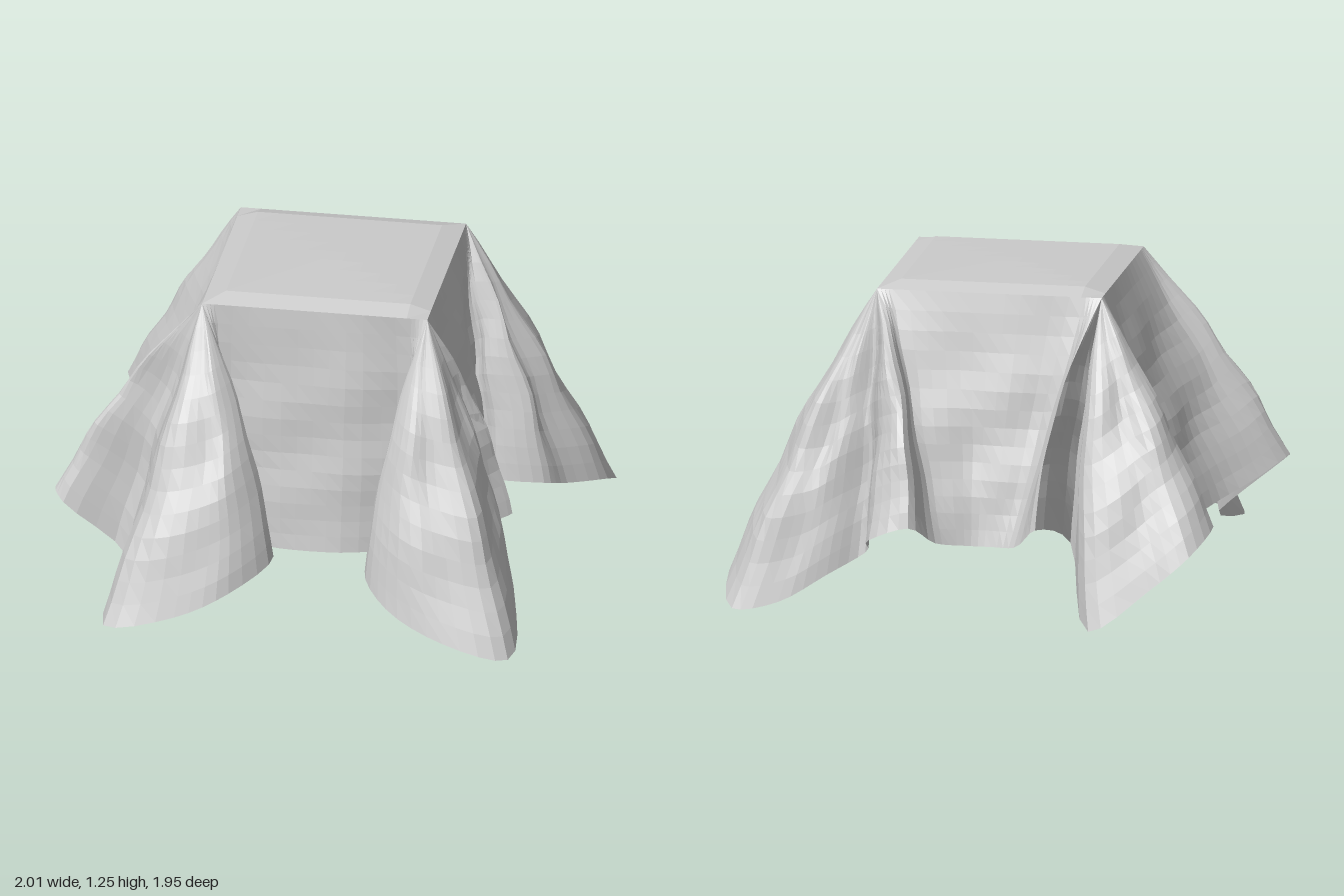
import * as THREE from 'three';

// Rim of the block top that the cloth hangs from
const RIM = { x0: -0.43, x1: 0.455, z0: -0.46, z1: 0.43, y: 1.22 };
const CORNERS = [[RIM.x0, RIM.z1], [RIM.x1, RIM.z1], [RIM.x1, RIM.z0], [RIM.x0, RIM.z0]];
const ROWS = 14, STEPS = 4, PANEL_POINTS = 4;

// How far each panel hem swings out (start, middle, end), how much it narrows,
// and the hem of the lobe after it
const SIDES = [
  { // front
    swing: [0.04, 0.11, 0.04], narrow: 1,
    lobe: [[0.25, 0.24, 0.67], [0.36, 0.16, 0.83], [0.6, 0.07, 0.92], [0.85, 0.01, 0.89],
      [0.82, 0.11, 0.55], [0.74, 0.22, 0.35], [0.65, 0.27, 0.27], [0.75, 0.31, 0.2], [0.6, 0.3, 0.24]],
  },
  { // left
    swing: [0.18, 0.2, 0.1], narrow: 0.75,
    lobe: [[0.62, 0.25, -0.22], [0.8, 0.24, -0.24], [0.87, 0.19, -0.36], [1, 0.14, -0.53], [0.96, 0.01, -0.82],
      [0.78, 0.04, -0.81], [0.6, 0.14, -0.74], [0.46, 0.22, -0.68], [0.4, 0.33, -0.93], [0.24, 0.39, -0.96]],
  },
  { // back
    swing: [0.34, 0.24, 0.28], narrow: 0.42,
    lobe: [[-0.25, 0.39, -0.9], [-0.33, 0.27, -0.58], [-0.47, 0.01, -0.96],
      [-0.7, 0.17, -0.91], [-0.85, 0.3, -0.87], [-0.91, 0.38, -0.67]],
  },
  { // right
    swing: [0.31, 0.33, 0.48], narrow: 0.9,
    lobe: [[-1, 0.41, 0.47], [-0.96, 0.37, 0.52], [-0.71, 0.16, 0.52], [-0.73, 0.06, 0.95],
      [-0.45, 0.12, 0.96], [-0.25, 0.2, 0.88], [-0.11, 0.27, 0.66]],
  },
];

function skirtGeometry() {
  // Rim, half-way and hem points of the main strands of cloth
  const rim = [], half = [], hem = [];
  SIDES.forEach(({ swing: [start, middle, end], narrow, lobe }, side) => {
    const a = new THREE.Vector3(CORNERS[side][0], RIM.y, CORNERS[side][1]);
    const next = CORNERS[(side + 1) % 4];
    const b = new THREE.Vector3(next[0], RIM.y, next[1]);
    const along = b.clone().sub(a);
    const outward = new THREE.Vector3(-along.z, 0, along.x).normalize();
    for (let i = 0; i < PANEL_POINTS; i++) {
      const u = (2 * i) / (PANEL_POINTS - 1) - 1;
      const out = middle + u * (end - start) / 2 + u * u * ((start + end) / 2 - middle);
      const top = a.clone().addScaledVector(along, 0.5 + 0.43 * u);
      const low = a.clone().addScaledVector(along, 0.5 + 0.4 * u * narrow).addScaledVector(outward, out);
      low.y = 0.24 + 0.5 * out * out;
      rim.push(top);
      hem.push(low);
      half.push(top.clone().lerp(low, 0.53));
    }
    // lobes open sideways faster than they reach outward
    const diagonal = new THREE.Vector3(Math.sign(b.x), 0, Math.sign(b.z)).normalize();
    for (const p of lobe) {
      const low = new THREE.Vector3(...p);
      const drop = low.clone().sub(b);
      const reach = diagonal.clone().multiplyScalar(drop.dot(diagonal));
      const sideways = drop.clone().sub(reach).setY(0);
      rim.push(b);
      hem.push(low);
      half.push(b.clone().addScaledVector(drop, 0.5).addScaledVector(reach, 0.02).addScaledVector(sideways, 0.15));
    }
  });

  // Columns of cloth from rim to hem
  const n = hem.length, cols = n * STEPS, grid = [];
  const hemCurve = new THREE.CatmullRomCurve3(hem, true, 'centripetal');
  const halfCurve = new THREE.CatmullRomCurve3(half, true, 'centripetal');
  for (let c = 0; c < cols; c++) {
    const k = Math.floor(c / STEPS);
    const top = rim[k].clone().lerp(rim[(k + 1) % n], (c % STEPS) / STEPS);
    const low = hemCurve.getPoint(c / cols);
    const pull = halfCurve.getPoint(c / cols).multiplyScalar(2).addScaledVector(top, -0.5).addScaledVector(low, -0.5);
    const strand = new THREE.QuadraticBezierCurve3(top, pull, low);
    for (let r = 0; r <= ROWS; r++) {
      const s = r / ROWS;
      // soft dents that die out at the rim and the hem
      const dent = 1 + 0.025 * Math.sin(Math.PI * s) * Math.sin(c * 0.7 + 7 * s) * Math.cos(c * 0.3 - 9 * s);
      const p = strand.getPoint(s);
      grid.push(new THREE.Vector3(p.x * dent, Math.max(0, p.y), p.z * dent));
    }
  }

  // Faces, leaving out those that shrink to nothing at the rim corners
  const pos = [];
  const tri = (...ids) => {
    const [p, q, s] = ids.map((i) => grid[i]);
    if (new THREE.Triangle(p, q, s).getArea() > 1e-7) for (const v of [p, q, s]) pos.push(v.x, v.y, v.z);
  };
  for (let c = 0; c < cols; c++) {
    for (let r = 0; r < ROWS; r++) {
      const i = c * (ROWS + 1) + r, j = ((c + 1) % cols) * (ROWS + 1) + r;
      tri(i, i + 1, j + 1);
      tri(i, j + 1, j);
    }
  }
  const geo = new THREE.BufferGeometry();
  geo.setAttribute('position', new THREE.Float32BufferAttribute(pos, 3));
  geo.computeVertexNormals();
  return geo;
}

// Slightly pillowed sheet with a soft bevel round the rim
function topGeometry() {
  const w = RIM.x1 - RIM.x0, d = RIM.z1 - RIM.z0;
  const geo = new THREE.PlaneGeometry(w, d, 11, 11).rotateX(-Math.PI / 2);
  const p = geo.attributes.position;
  for (let i = 0; i < p.count; i++) {
    const edge = Math.min(w / 2 - Math.abs(p.getX(i)), d / 2 - Math.abs(p.getZ(i)));
    p.setY(i, RIM.y + 0.022 * Math.min(1, edge / 0.08) + 0.012 * Math.min(1, edge / 0.4));
  }
  geo.translate((RIM.x0 + RIM.x1) / 2, 0, (RIM.z0 + RIM.z1) / 2);
  geo.computeVertexNormals();
  return geo;
}

export function createModel() {
  const group = new THREE.Group();
  group.name = 'drapedCloth';
  const cloth = new THREE.MeshStandardMaterial({ color: 0xcccccc, flatShading: true, side: THREE.DoubleSide });
  const add = (name, geo, material) => {
    const mesh = new THREE.Mesh(geo, material);
    mesh.name = name;
    group.add(mesh);
    return mesh;
  };
  add('clothTop', topGeometry(), cloth);
  add('clothSkirt', skirtGeometry(), cloth);

  // Block that holds the cloth up
  const block = add('supportBlock', new THREE.BoxGeometry(0.8, 0.82, 0.8), new THREE.MeshStandardMaterial({ color: 0xcccccc }));
  block.position.set(0.01, 0.8, -0.015);
  return group;
}
